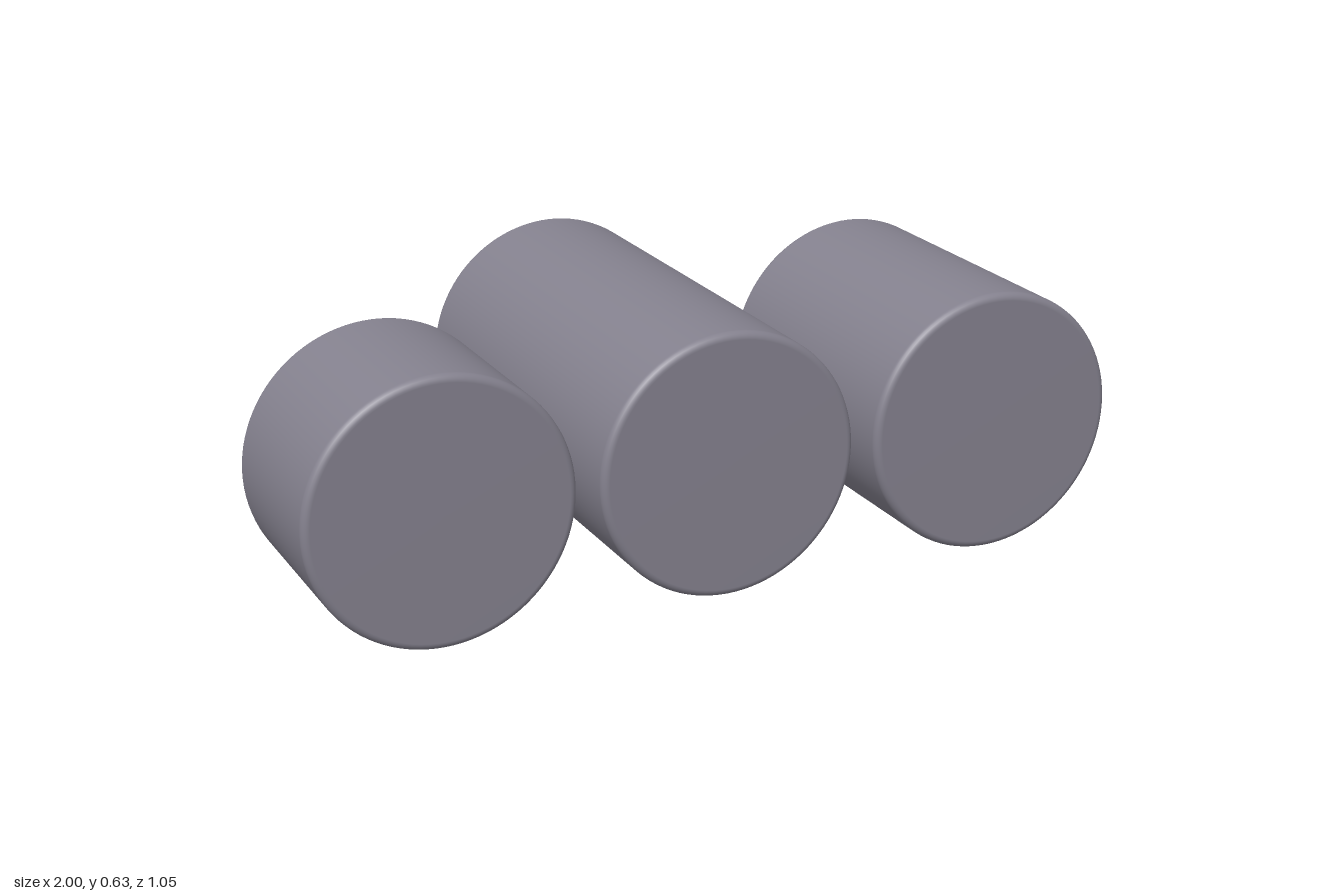
import * as THREE from 'three';

const RADIUS = 0.314;
const FILLET = 0.018;
const FRONT = 0.523;

// Solid cylinder with rounded rims, lying along z from back to FRONT
function roundedCylinder(back) {
  const points = [new THREE.Vector2(0, back)];
  const steps = 6;
  for (const end of [-1, 1]) {
    const centre = end < 0 ? back + FILLET : FRONT - FILLET;
    for (let i = 0; i <= steps; i++) {
      const t = (i / steps) * Math.PI / 2;
      const a = end < 0 ? t - Math.PI / 2 : t;
      points.push(new THREE.Vector2(
        RADIUS - FILLET + FILLET * Math.cos(a),
        centre + FILLET * Math.sin(a)));
    }
  }
  points.push(new THREE.Vector2(0, FRONT));
  return new THREE.LatheGeometry(points, 96).rotateX(Math.PI / 2);
}

export function createModel() {
  const group = new THREE.Group();
  group.name = 'cylinderRow';
  const grey = new THREE.MeshStandardMaterial({ color: 0x84818e });
  grey.name = 'purple grey';

  // Three cylinders with flush fronts and different lengths
  const parts = [
    ['shortCylinder', -0.686, 0.08],
    ['longCylinder', 0, -0.523],
    ['mediumCylinder', 0.686, -0.2],
  ];
  for (const [name, x, back] of parts) {
    const mesh = new THREE.Mesh(roundedCylinder(back), grey);
    mesh.name = name;
    mesh.position.set(x, RADIUS, 0);
    group.add(mesh);
  }
  return group;
}
